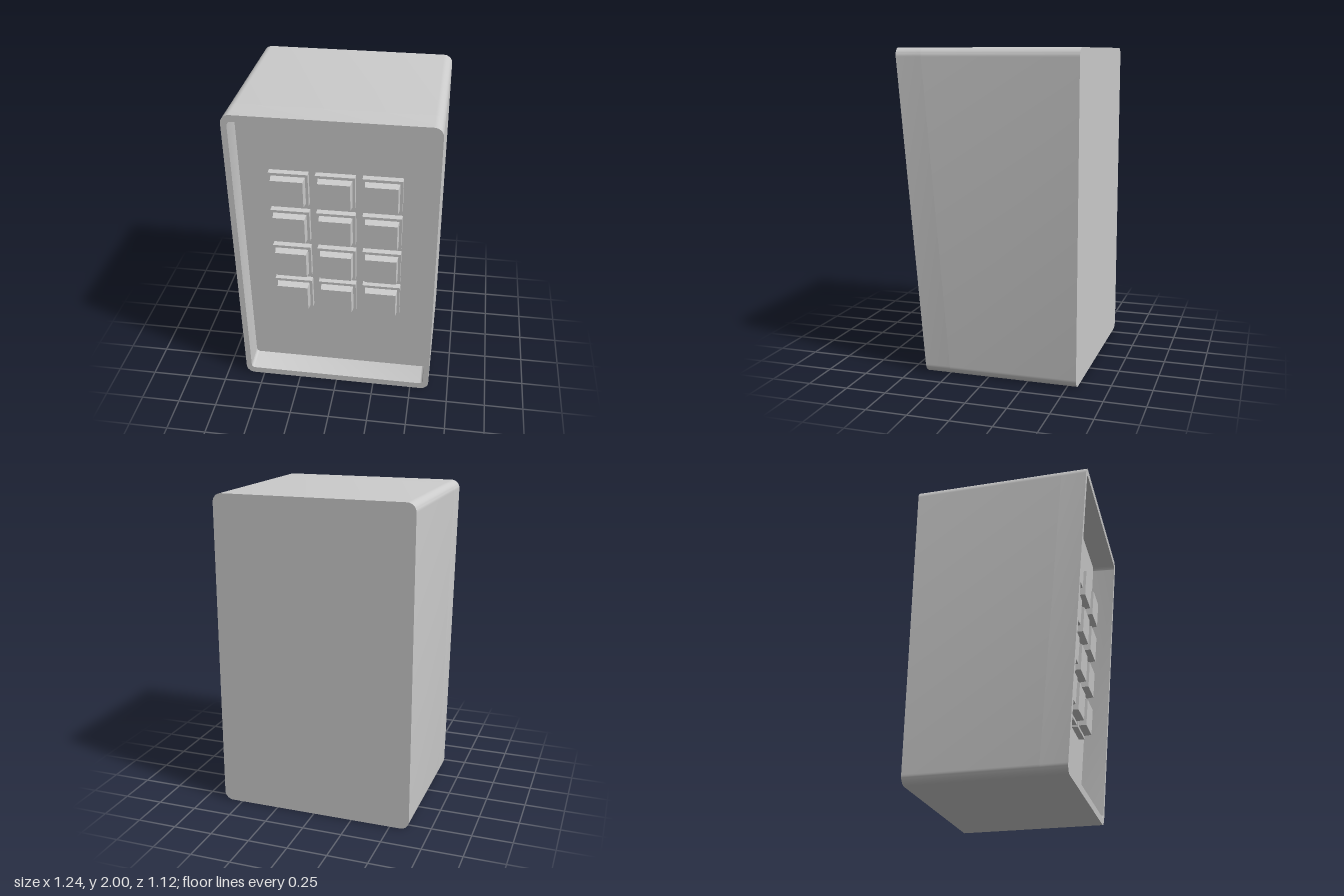
import * as THREE from 'three';
import { toCreasedNormals } from 'three/addons/utils/BufferGeometryUtils.js';

const SLOPE = 0.083, BACK = -0.56, RECESS = 0.16;
const frontZ = (y) => 0.395 + SLOPE * y; // leaning front plane
const floorZ = (y) => frontZ(y) - RECESS; // recessed panel plane
const material = new THREE.MeshStandardMaterial({ color: 0xcccccc });

function roundedRect(path, x, y0, y1, r) {
  path.moveTo(-x + r, y0);
  path.lineTo(x - r, y0);
  path.absarc(x - r, y0 + r, r, -Math.PI / 2, 0);
  path.lineTo(x, y1 - r);
  path.absarc(x - r, y1 - r, r, 0, Math.PI / 2);
  path.lineTo(-x + r, y1);
  path.absarc(-x + r, y1 - r, r, Math.PI / 2, Math.PI);
  path.lineTo(-x, y0 + r);
  path.absarc(-x + r, y0 + r, r, Math.PI, Math.PI * 1.5);
  return path;
}

// Extrude a shape, then place each vertex by a rule
function extrude(shape, rule) {
  const geo = new THREE.ExtrudeGeometry(shape, { depth: 1, bevelEnabled: false, curveSegments: 5 });
  const p = geo.attributes.position;
  for (let i = 0; i < p.count; i++) {
    const [y, z] = rule(p.getX(i), p.getY(i), p.getZ(i) > 0.5);
    p.setY(i, y);
    p.setZ(i, z);
  }
  return toCreasedNormals(geo, 0.6);
}

function add(parent, geo, name) {
  const mesh = new THREE.Mesh(geo, material);
  mesh.name = name;
  parent.add(mesh);
  return mesh;
}

export function createModel() {
  const model = new THREE.Group();
  model.name = 'keypadBox';

  // Solid body whose front is the recessed panel
  const outline = () => roundedRect(new THREE.Shape(), 0.622, 0, 2, 0.055);
  add(model, extrude(outline(), (x, y, front) => [y, front ? floorZ(y) : BACK]), 'body');

  // Raised rim around the panel; its opening runs square to the leaning front
  const rimShape = outline();
  rimShape.holes.push(roundedRect(new THREE.Path(), 0.586, 0.045, 1.958, 0.025));
  add(model, extrude(rimShape, (x, y, front) => {
    if (front) return [y, frontZ(y)];
    const inner = Math.abs(x) < 0.588 && y > 0.03 && y < 1.97;
    const yy = inner ? y + RECESS * SLOPE : y;
    return [yy, floorZ(yy)];
  }), 'rim');

  // Keys: a base plate with a slightly tapered cap
  const baseGeo = new THREE.BoxGeometry(0.24, 0.223, 0.04).translate(0, 0, 0.02);
  const capGeo = new THREE.BoxGeometry(0.207, 0.187, 0.05).translate(0, 0, 0.025);
  const p = capGeo.attributes.position;
  for (let i = 0; i < p.count; i++) {
    if (p.getZ(i) > 0.02) p.setXY(i, p.getX(i) * 0.94, p.getY(i) * 0.94);
  }
  capGeo.computeVertexNormals();

  const keys = new THREE.Group();
  keys.name = 'keys';
  model.add(keys);
  for (let row = 0; row < 4; row++) {
    for (let col = 0; col < 3; col++) {
      const key = new THREE.Group();
      key.name = 'key';
      const y = 0.66 + row * 0.268;
      key.position.set((col - 1) * 0.283, y, floorZ(y));
      key.rotation.x = Math.atan(SLOPE);
      add(key, baseGeo, 'keyBase');
      add(key, capGeo, 'keyCap').position.z = 0.04;
      keys.add(key);
    }
  }
  return model;
}
